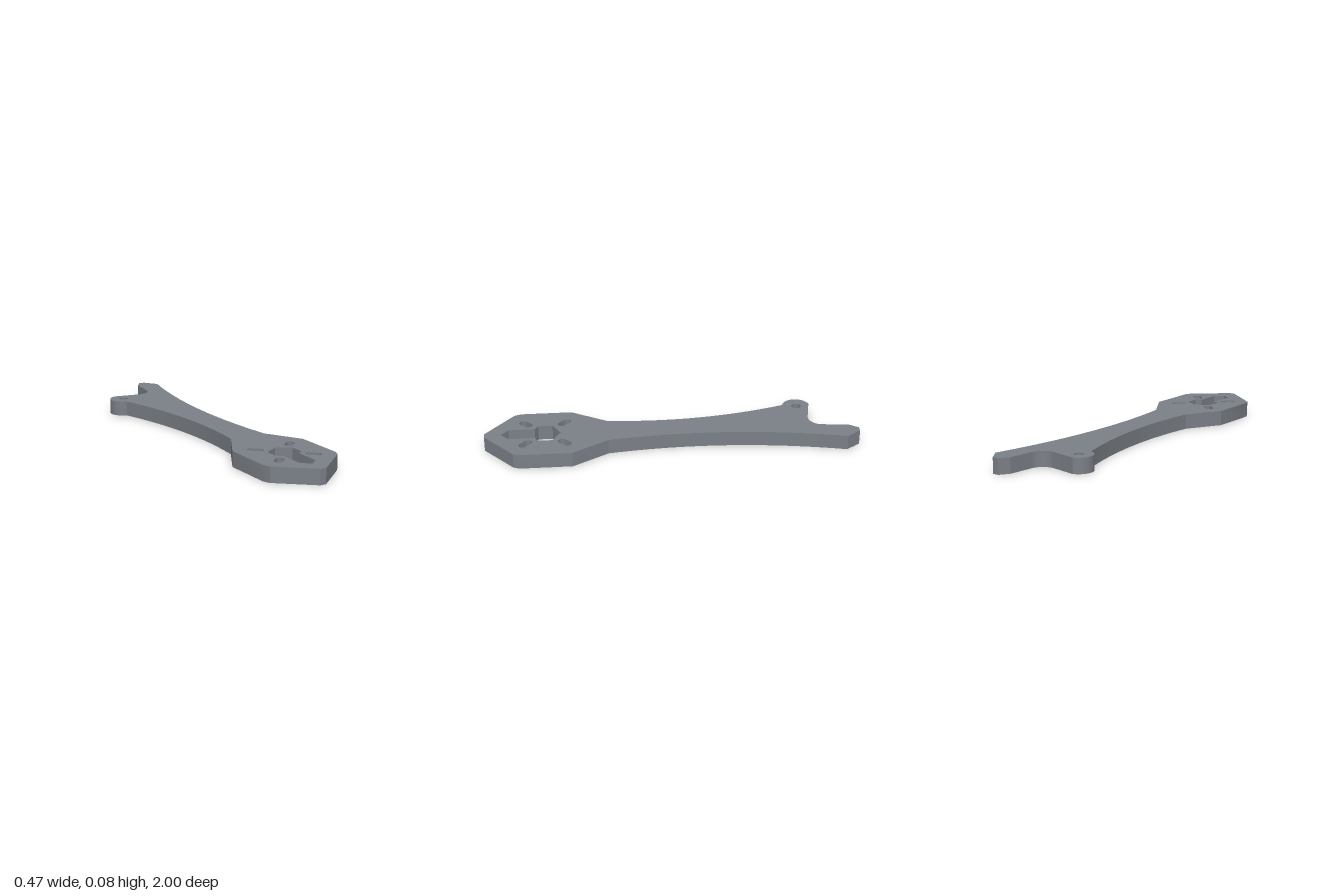
import * as THREE from 'three';
import { toCreasedNormals } from 'three/addons/utils/BufferGeometryUtils.js';

const THICKNESS = 0.082;
const HEAD_X = 0.02;   // centre line of the motor mount
const HEAD_Z = 0.677;  // centre of the four slots

// Plan outline, drawn in (x, z)
function armOutline() {
  const s = new THREE.Shape();
  // motor mount, left half then shoulder
  s.moveTo(0.037, 1);
  s.lineTo(0.004, 1);
  s.lineTo(-0.18, 0.845);
  s.lineTo(-0.194, 0.81);
  s.lineTo(-0.194, 0.535);
  s.lineTo(-0.083, 0.345);
  // waisted arm edge up to the rounded ear
  s.quadraticCurveTo(-0.023, -0.1425, -0.175, -0.63);
  s.absarc(-0.158, -0.704, 0.076, 1.8, 4.46, false);
  // fillet between ear and prong
  s.absarc(-0.02, -0.82, 0.074, 1.78, 0.13, true);
  // chamfered prong
  s.lineTo(0.068, -0.95);
  s.lineTo(0.102, -1);
  s.lineTo(0.135, -1);
  s.lineTo(0.188, -0.925);
  // opposite arm edge and shoulder
  s.quadraticCurveTo(0.03, -0.29, 0.121, 0.345);
  s.lineTo(0.234, 0.535);
  s.lineTo(0.234, 0.81);
  s.lineTo(0.22, 0.845);
  s.closePath();
  return s;
}

// Rounded slot along the given angle
function slot(x, z, angle, half, r) {
  const p = new THREE.Path();
  const dx = Math.cos(angle) * half, dz = Math.sin(angle) * half;
  p.absarc(x + dx, z + dz, r, angle - Math.PI / 2, angle + Math.PI / 2, false);
  p.absarc(x - dx, z - dz, r, angle + Math.PI / 2, angle + Math.PI * 1.5, false);
  p.closePath();
  return p;
}

// Stepped hexagonal opening, mirrored about the mount's centre line
function centreOpening() {
  const half = [[0, 0.595], [0.076, 0.638], [0.076, 0.715], [0.046, 0.733], [0.046, 0.872], [0, 0.912]];
  const mirrored = half.slice(1, -1).reverse().map(([x, z]) => [-x, z]);
  return new THREE.Path([...half, ...mirrored].map(([x, z]) => new THREE.Vector2(HEAD_X + x, z)));
}

export function createModel() {
  const group = new THREE.Group();
  group.name = 'frameArm';

  const shape = armOutline();
  shape.holes.push(centreOpening());
  for (const sx of [-1, 1]) {
    for (const sz of [-1, 1]) {
      shape.holes.push(slot(HEAD_X + sx * 0.103, HEAD_Z + sz * 0.104, Math.atan2(sz, sx), 0.019, 0.022));
    }
  }
  // bolt hole in the ear
  const bolt = new THREE.Path();
  bolt.absarc(-0.157, -0.705, 0.025, 0, Math.PI * 2, false);
  shape.holes.push(bolt);

  // lay the plate flat with its underside on the floor
  const geometry = new THREE.ExtrudeGeometry(shape, { depth: THICKNESS, bevelEnabled: false, curveSegments: 24 });
  geometry.rotateX(Math.PI / 2);
  geometry.translate(0, THICKNESS, 0);

  const plate = new THREE.Mesh(
    toCreasedNormals(geometry, 0.4),
    new THREE.MeshStandardMaterial({ color: 0x7b8087 })
  );
  plate.name = 'armPlate';
  group.add(plate);
  return group;
}
